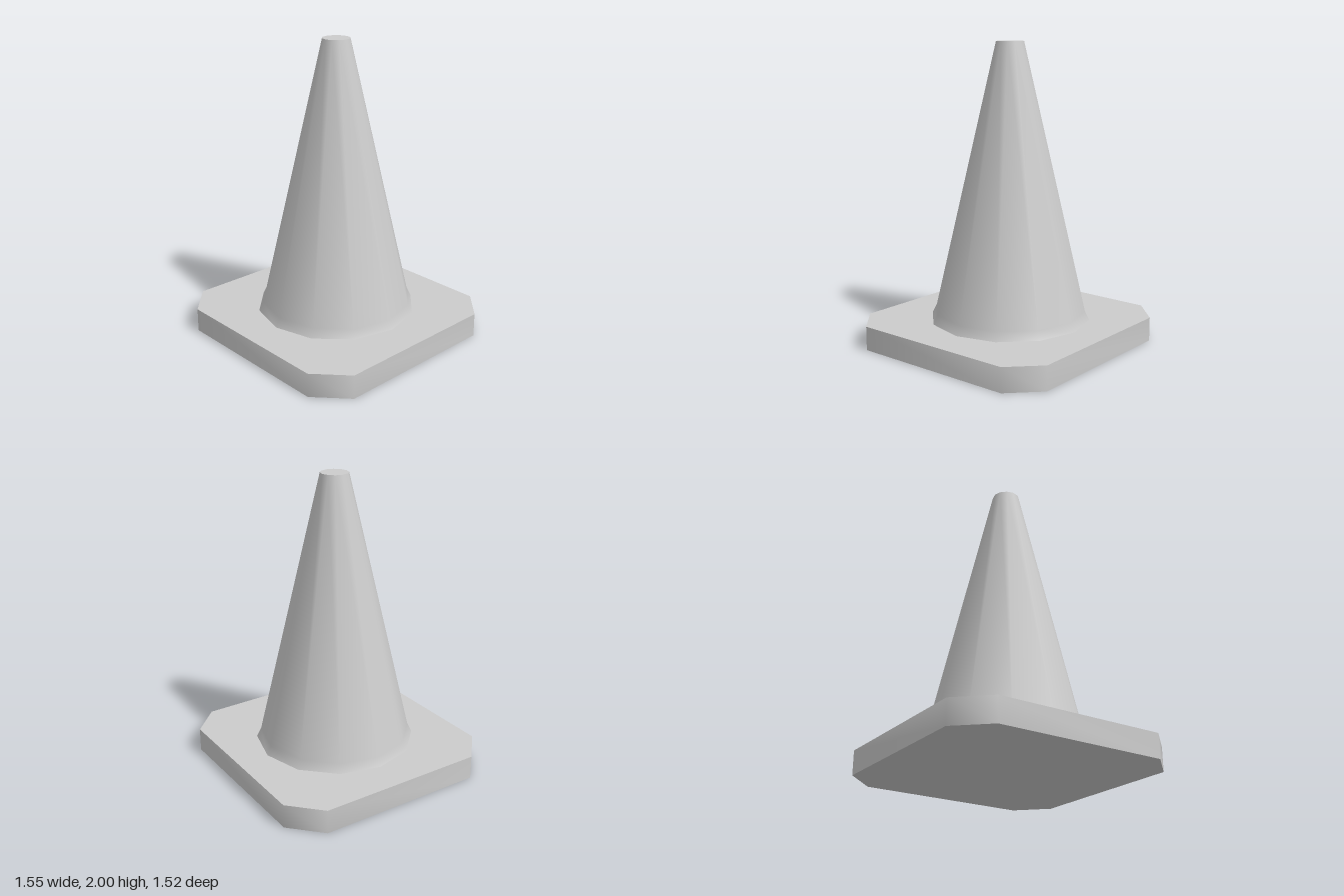
import * as THREE from 'three';
import { toCreasedNormals } from 'three/addons/utils/BufferGeometryUtils.js';

export function createModel() {
  const model = new THREE.Group();
  const grey = new THREE.MeshStandardMaterial({ color: 0xcccccc });
  grey.name = 'light grey';

  const add = (name, geometry, x = 0, y = 0, z = 0) => {
    const mesh = new THREE.Mesh(geometry, grey);
    mesh.name = name;
    mesh.position.set(x, y, z);
    model.add(mesh);
  };

  // Base plate: square with cut corners, slightly wider at the front
  const outline = [
    [-0.57, -0.76], [0.57, -0.76], [0.775, -0.57], [0.763, 0.57],
    [0.57, 0.76], [-0.57, 0.76], [-0.77, 0.57], [-0.775, -0.57],
  ].map(([x, y]) => new THREE.Vector2(x, y));
  const plate = new THREE.ExtrudeGeometry(new THREE.Shape(outline), { depth: 0.16, bevelEnabled: false });
  plate.rotateX(-Math.PI / 2);
  add('basePlate', toCreasedNormals(plate, THREE.MathUtils.degToRad(55)));

  // Twelve-sided cone with a small flare at its foot
  const sides = 12;
  const topRadius = 0.092;
  const profile = [[0.54, 0.155], [0.508, 0.22], [topRadius, 2]]
    .map(([r, y]) => new THREE.Vector2(r, y));
  add('cone', new THREE.LatheGeometry(profile, sides), -0.003, 0, -0.006);

  // Flat tip
  const tip = new THREE.CircleGeometry(topRadius, sides);
  tip.rotateX(-Math.PI / 2);
  add('coneTip', tip, -0.003, 2, -0.006);

  return model;
}
